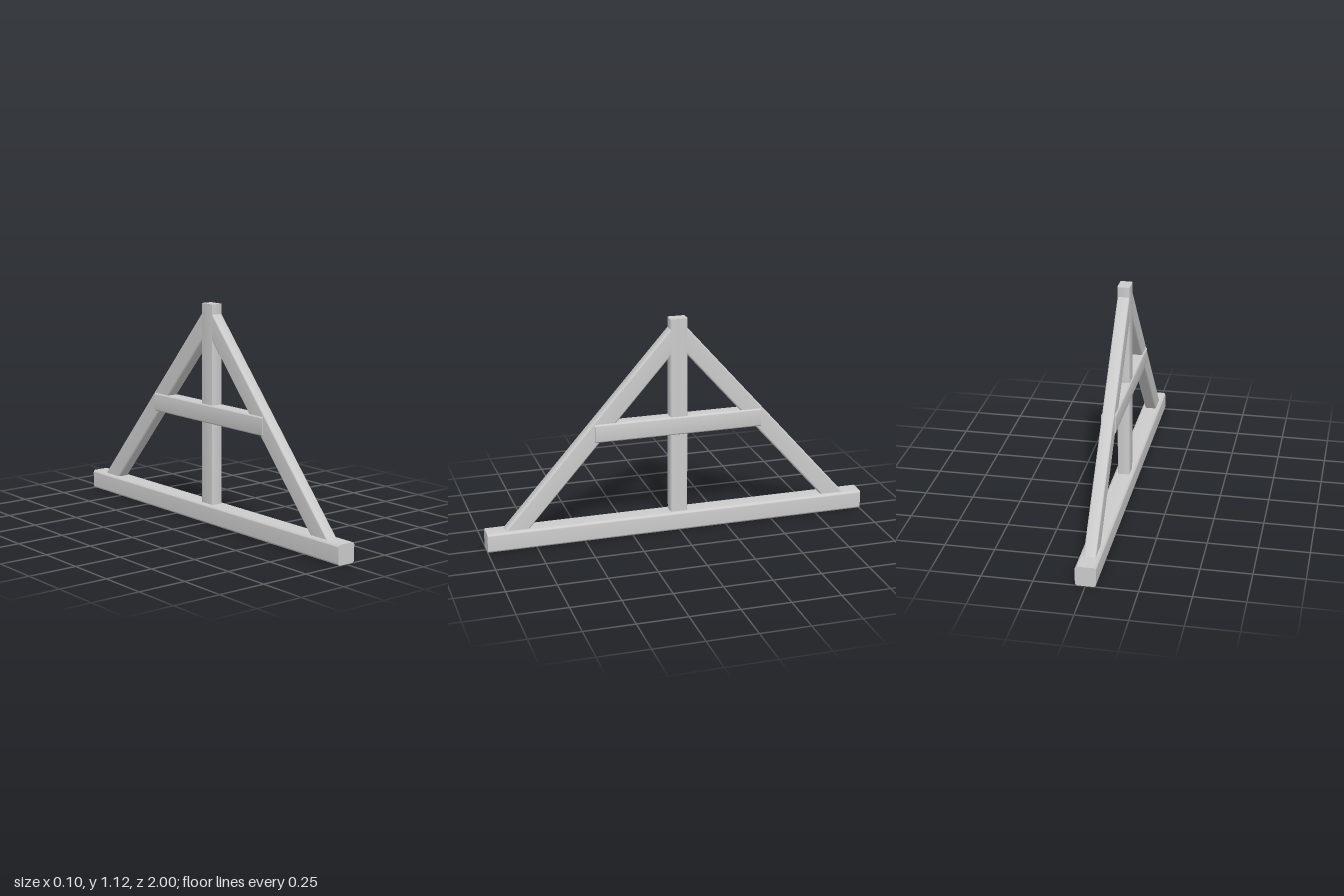
import * as THREE from 'three';
import { toCreasedNormals } from 'three/addons/utils/BufferGeometryUtils.js';

const material = new THREE.MeshStandardMaterial({ color: 0xcccccc });

// Rounded rectangular section, w across x and h across y
function section(w, h, r) {
  const s = new THREE.Shape();
  const x = w / 2, y = h / 2;
  s.moveTo(-x + r, -y);
  s.absarc(x - r, -y + r, r, -Math.PI / 2, 0);
  s.absarc(x - r, y - r, r, 0, Math.PI / 2);
  s.absarc(-x + r, y - r, r, Math.PI / 2, Math.PI);
  s.absarc(-x + r, -y + r, r, Math.PI, Math.PI * 1.5);
  return s;
}

// Timber running between two [z, y] points in the x = 0 plane
function timber(name, from, to, w, h, r) {
  const dz = to[0] - from[0], dy = to[1] - from[1];
  const length = Math.hypot(dz, dy);
  const geo = new THREE.ExtrudeGeometry(section(w, h, r), { depth: length, bevelEnabled: false, curveSegments: 4 });
  geo.translate(0, 0, -length / 2);
  const mesh = new THREE.Mesh(toCreasedNormals(geo, 0.6), material);
  mesh.name = name;
  mesh.rotation.x = -Math.atan2(dy, dz);
  mesh.position.set(0, (from[1] + to[1]) / 2, (from[0] + to[0]) / 2);
  return mesh;
}

export function createModel() {
  const truss = new THREE.Group();
  truss.name = 'roofTruss';

  truss.add(timber('tieBeam', [-1, 0.05], [1, 0.05], 0.1, 0.1, 0.013));
  truss.add(timber('kingPost', [0, 0.05], [0, 1.123], 0.062, 0.09, 0.008));
  truss.add(timber('collarBeam', [-0.437, 0.566], [0.437, 0.566], 0.074, 0.096, 0.01));

  // Sloping rafters, ends buried in the tie beam and king post
  for (const [side, name] of [[1, 'frontRafter'], [-1, 'backRafter']]) {
    truss.add(timber(name, [side * 0.887, 0.05], [0, 1.053], 0.06, 0.093, 0.008));
  }
  return truss;
}
